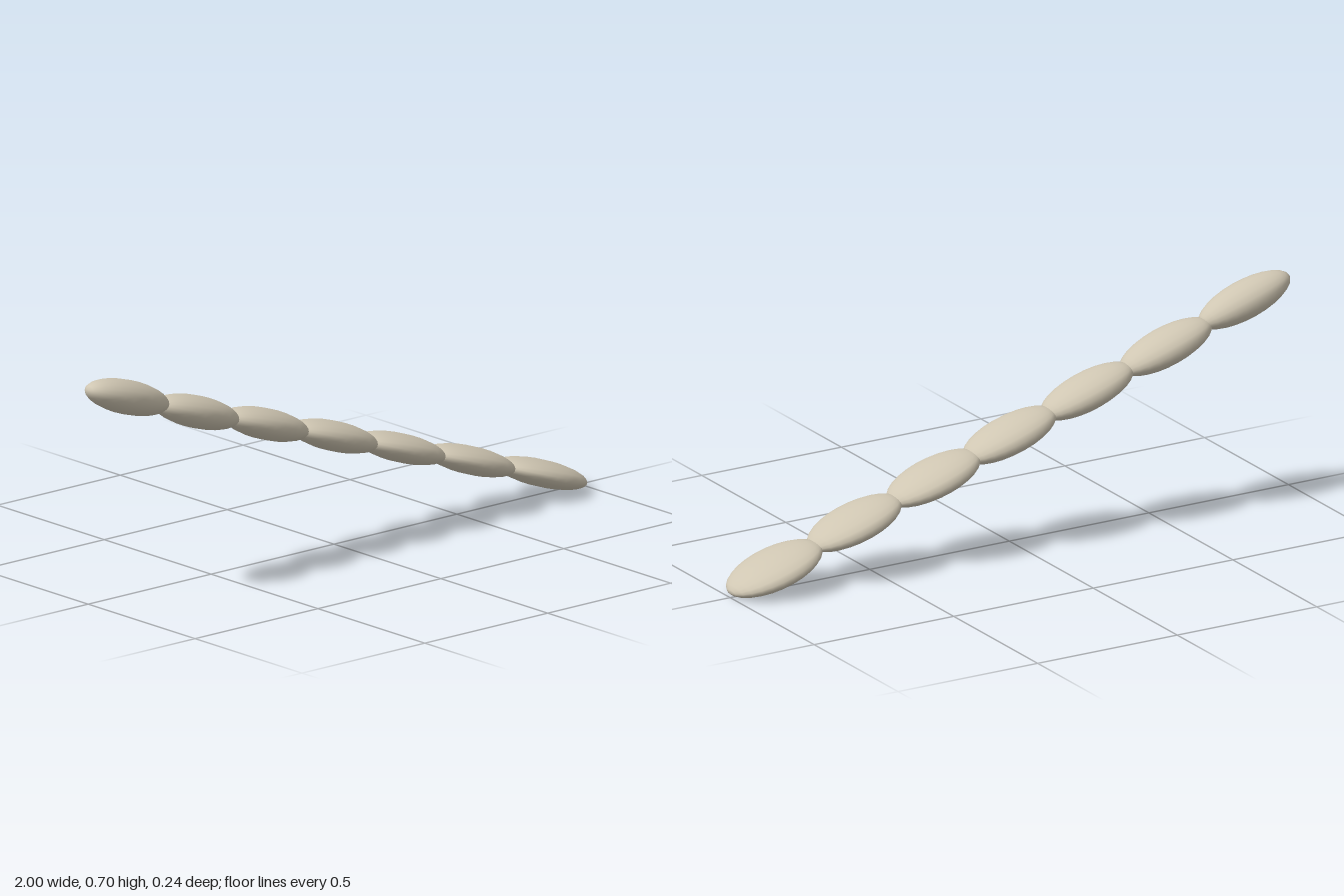
import * as THREE from 'three';

// Each bead: centre x, centre y, half thickness, half width
const BEADS = [
  [-0.842, 0.633, 0.054, 0.078],
  [-0.56, 0.532, 0.051, 0.087],
  [-0.278, 0.439, 0.049, 0.091],
  [0, 0.347, 0.047, 0.099],
  [0.272, 0.257, 0.045, 0.107],
  [0.555, 0.163, 0.044, 0.109],
  [0.842, 0.067, 0.042, 0.12],
];
const HALF_LENGTH = 0.166;
const TILT = -0.322;

export function createModel() {
  const group = new THREE.Group();
  group.name = 'beadedStrand';

  const bone = new THREE.MeshStandardMaterial({ color: 0xcfc6b2 });
  bone.name = 'pale bone';

  // Shared unit bead with its poles along the strand
  const unitBead = new THREE.SphereGeometry(1, 18, 14);
  unitBead.rotateZ(Math.PI / 2);

  // Overlapping flattened beads, wider and thinner towards the low end
  BEADS.forEach(([x, y, thickness, width], i) => {
    const bead = new THREE.Mesh(unitBead, bone);
    bead.name = `bead${i + 1}`;
    bead.position.set(x, y, 0);
    bead.rotation.z = TILT;
    bead.scale.set(HALF_LENGTH, thickness, width);
    group.add(bead);
  });

  return group;
}
